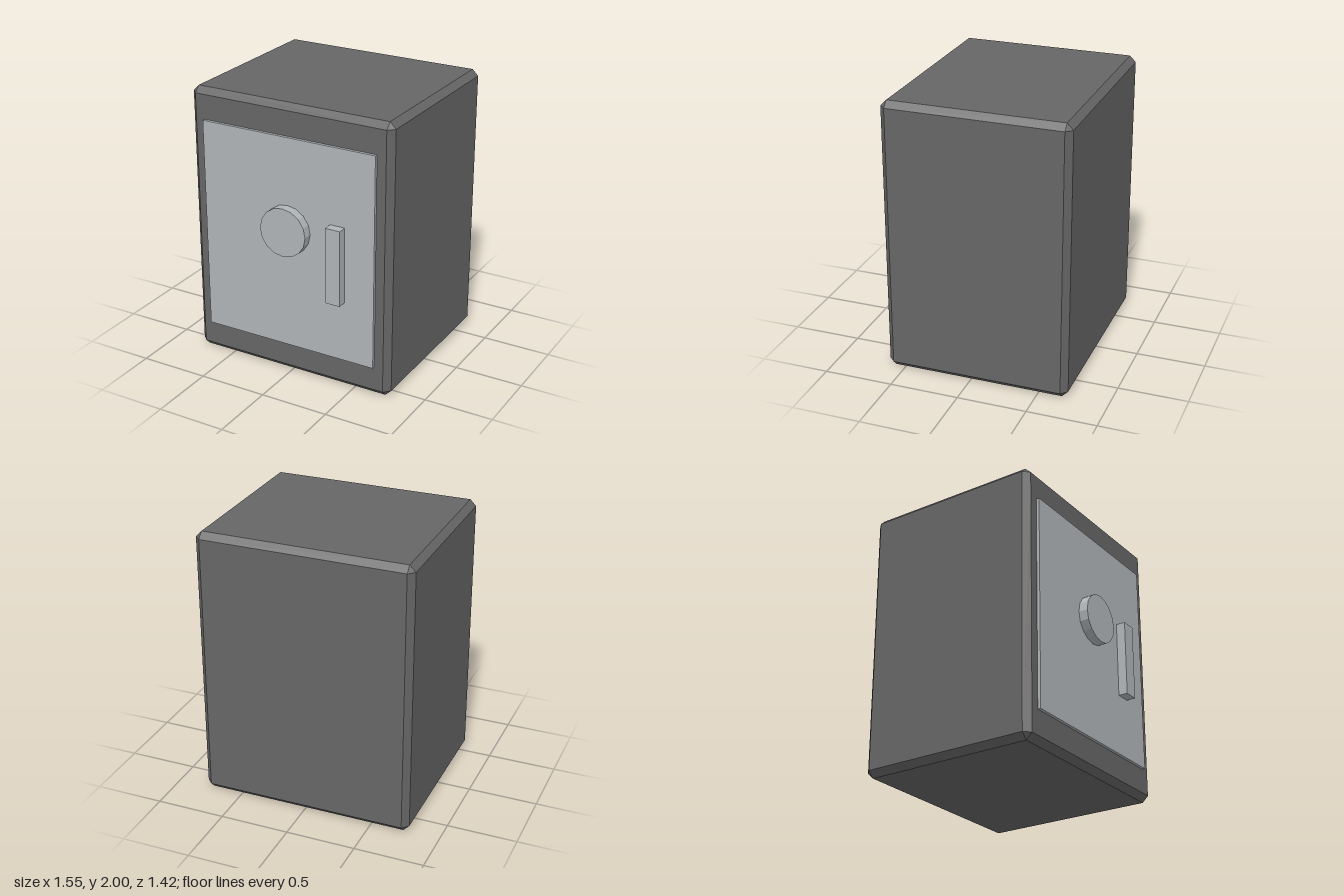
import * as THREE from 'three';
import { ConvexGeometry } from 'three/addons/geometries/ConvexGeometry.js';

// Box with flat 45-degree bevels: hull of three corner points per corner
function bevelledBox(w, h, d, b) {
  const points = [];
  for (const sx of [-1, 1]) for (const sy of [-1, 1]) for (const sz of [-1, 1]) {
    const x = w / 2, y = h / 2, z = d / 2;
    points.push(
      new THREE.Vector3(sx * x, sy * (y - b), sz * (z - b)),
      new THREE.Vector3(sx * (x - b), sy * y, sz * (z - b)),
      new THREE.Vector3(sx * (x - b), sy * (y - b), sz * z)
    );
  }
  return new ConvexGeometry(points);
}

export function createModel() {
  const group = new THREE.Group();
  const material = (name, color) => {
    const m = new THREE.MeshStandardMaterial({ color, flatShading: true });
    m.name = name;
    return m;
  };
  const darkSteel = material('darkSteel', 0x666666);
  const paleSteel = material('paleSteel', 0xb0b5b8);

  const add = (name, geometry, mat, x, y, z) => {
    const mesh = new THREE.Mesh(geometry, mat);
    mesh.name = name;
    mesh.position.set(x, y, z);
    group.add(mesh);
    return mesh;
  };

  // Safe body
  add('body', bevelledBox(1.555, 2, 1.333, 0.044), darkSteel, 0, 1, -0.0445);

  // Door slab, standing slightly proud of the body
  add('door', new THREE.BoxGeometry(1.333, 1.555, 0.044), paleSteel, 0, 1, 0.622);

  // Round dial and upright handle on the door
  const dial = new THREE.CylinderGeometry(0.178, 0.178, 0.067, 16).rotateX(Math.PI / 2);
  add('dial', dial, paleSteel, 0, 1.113, 0.6775);
  add('handle', new THREE.BoxGeometry(0.111, 0.555, 0.067), paleSteel, 0.389, 0.946, 0.6775);

  return group;
}
